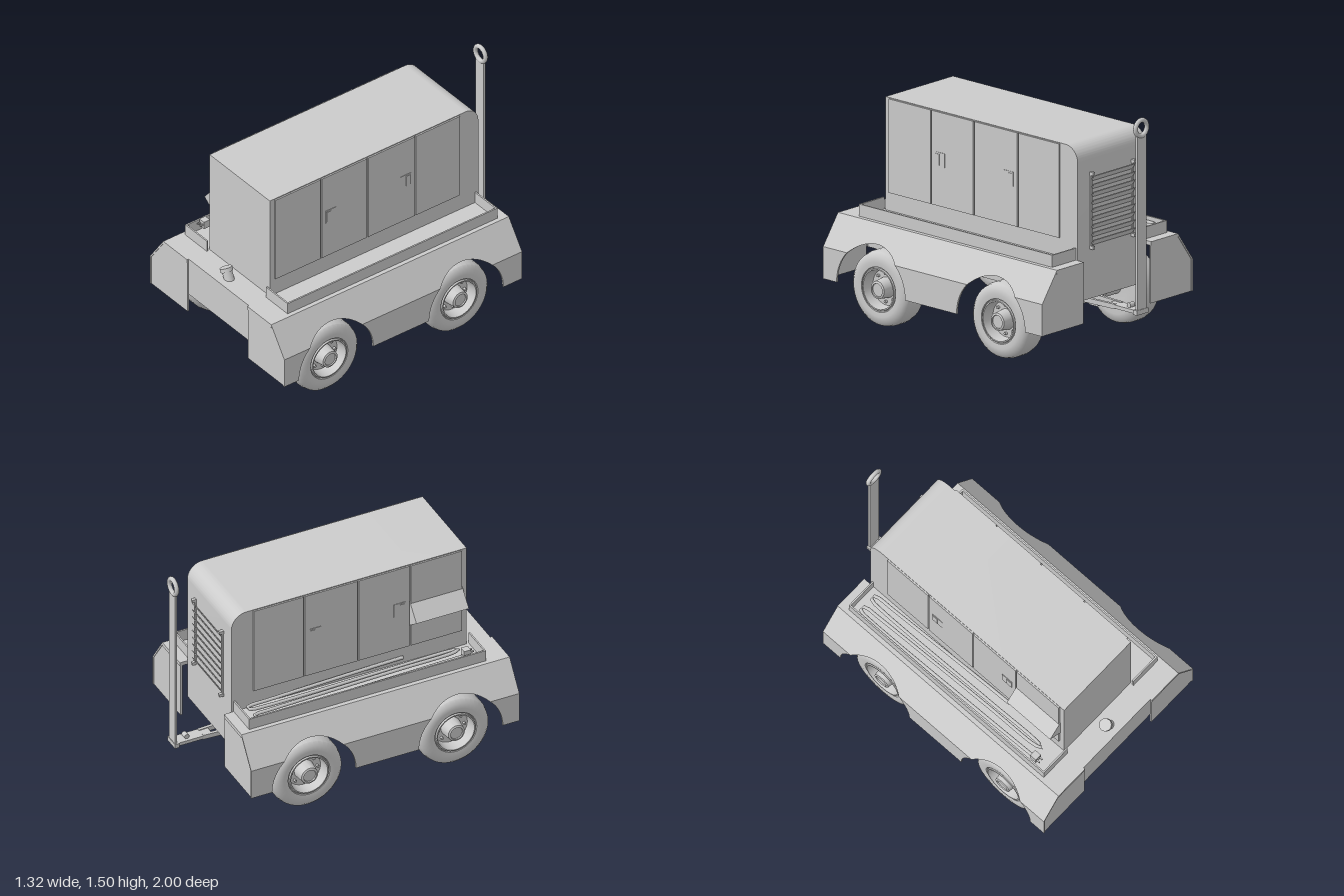
import * as THREE from 'three';
import { toCreasedNormals } from 'three/addons/utils/BufferGeometryUtils.js';

const mat = new THREE.MeshStandardMaterial({ color: 0xcccccc });
const sheet = new THREE.MeshStandardMaterial({ color: 0xcccccc, side: THREE.DoubleSide });

function add(parent, name, geo, x = 0, y = 0, z = 0, material = mat) {
  const m = new THREE.Mesh(geo, material);
  m.name = name;
  m.position.set(x, y, z);
  parent.add(m);
  return m;
}
const box = (p, name, w, h, d, x, y, z) => add(p, name, new THREE.BoxGeometry(w, h, d), x, y, z);
const cyl = (p, name, r, len, x, y, z, seg = 24) => add(p, name, new THREE.CylinderGeometry(r, r, len, seg), x, y, z);
const poly = (pts) => new THREE.Shape(pts.map(([x, y]) => new THREE.Vector2(x, y)));
const extrude = (shape, depth, curveSegments = 12) =>
  new THREE.ExtrudeGeometry(shape, { depth, bevelEnabled: false, curveSegments });

// Bar of rectangular section between two points
function bar(p, name, a, b, w, h) {
  const A = new THREE.Vector3(...a), B = new THREE.Vector3(...b);
  const m = box(p, name, w, h, A.distanceTo(B), 0, 0, 0);
  m.position.copy(A).add(B).multiplyScalar(0.5);
  m.lookAt(B);
}

const AXLES = [0.61, -0.37];
const ARCH = 0.28, HUB_Y = 0.24, BEND = 0.44, ANG = Math.asin((BEND - HUB_Y) / ARCH);
const HALF = ARCH * Math.cos(ANG);

// Side skirt of a fender, in (-z, y), with wheel arches; the upper strip leans inward
function fender(g) {
  const [c1, c2] = AXLES.map((z) => -z);
  const upper = new THREE.Shape();
  upper.moveTo(-1, BEND);
  for (const c of [c1, c2]) {
    upper.lineTo(c - HALF, BEND);
    upper.absarc(c, HUB_Y, ARCH, Math.PI - ANG, ANG, true);
  }
  upper.lineTo(0.79, BEND).lineTo(0.79, 0.625).lineTo(-1, 0.625);

  const front = new THREE.Shape();
  front.moveTo(-1, HUB_Y).lineTo(c1 - ARCH, HUB_Y);
  front.absarc(c1, HUB_Y, ARCH, Math.PI, Math.PI - ANG, true).lineTo(-1, BEND);
  const middle = new THREE.Shape();
  middle.moveTo(c1 + ARCH, HUB_Y).lineTo(c2 - ARCH, HUB_Y);
  middle.absarc(c2, HUB_Y, ARCH, Math.PI, Math.PI - ANG, true).lineTo(c1 + HALF, BEND);
  middle.absarc(c1, HUB_Y, ARCH, ANG, 0, true);
  const rear = new THREE.Shape();
  rear.moveTo(c2 + ARCH, HUB_Y).lineTo(0.79, HUB_Y).lineTo(0.79, BEND).lineTo(c2 + HALF, BEND);
  rear.absarc(c2, HUB_Y, ARCH, ANG, 0, true);

  for (const shape of [upper, front, middle, rear]) {
    const geo = extrude(shape, 0.012, 20).rotateY(Math.PI / 2);
    const p = geo.attributes.position;
    for (let i = 0; i < p.count; i++) {
      p.setX(i, p.getX(i) + 0.648 - Math.max(0, p.getY(i) - BEND) * 0.13 / 0.185);
    }
    geo.computeVertexNormals();
    add(g, 'fenderSkirt', geo, 0, 0, 0, sheet);
  }
  // End plates sit slightly inside the skirt
  const cap = poly([[0.295, 0.24], [0.65, 0.24], [0.65, 0.44], [0.523, 0.62], [0.295, 0.62]]);
  for (const z of [0.984, -0.786]) add(g, 'fenderEnd', extrude(cap, 0.012), 0, 0, z, sheet);
}

// Tyre, rim and hub turned about one axis; the outer face points along local +y
const tyreGeo = toCreasedNormals(new THREE.LatheGeometry([
  [0, -0.08], [0.1, -0.085], [0.17, -0.09], [0.205, -0.085], [0.226, -0.066], [0.235, -0.03],
  [0.235, 0.03], [0.226, 0.066], [0.205, 0.085], [0.17, 0.09], [0.14, 0.086], [0.137, 0.078],
  [0.132, 0.078], [0.13, 0.09], [0.122, 0.09], [0.112, 0.015], [0.064, 0.015], [0.055, 0.095],
  [0.042, 0.1], [0.04, 0.092], [0, 0.092],
].map(([r, y]) => new THREE.Vector2(r, y)), 40), 0.6);

function wheel(root, s, z) {
  const g = new THREE.Group();
  g.name = 'wheel';
  add(g, 'tyreAndRim', tyreGeo);
  for (let i = 0; i < 8; i++) {
    const a = (i * Math.PI) / 4;
    cyl(g, 'wheelNut', 0.009, 0.02, 0.088 * Math.cos(a), 0.022, 0.088 * Math.sin(a), 6);
  }
  g.position.set(s * 0.506, HUB_Y - 0.005, z);
  g.rotation.z = -s * Math.PI / 2;
  root.add(g);
}

export function createModel() {
  const root = new THREE.Group();
  root.name = 'towedGenerator';

  // Housing with a rounded rear top edge
  const side = new THREE.Shape();
  side.moveTo(-0.83, 0.6).lineTo(0.74, 0.6).lineTo(0.74, 1.23);
  side.absarc(0.64, 1.23, 0.1, 0, Math.PI / 2, false).lineTo(-0.83, 1.33);
  add(root, 'housing', toCreasedNormals(extrude(side, 0.59).rotateY(Math.PI / 2), 0.5), -0.295);

  // Deck and chassis, open underneath
  box(root, 'deck', 1.06, 0.025, 1.725, 0, 0.6125, 0.1225);
  box(root, 'frontPanel', 0.59, 0.26, 0.012, 0, 0.495, 0.982);
  box(root, 'rearPanel', 0.59, 0.25, 0.012, 0, 0.49, -0.734);

  for (const s of [1, -1]) {
    const g = new THREE.Group();
    g.name = s > 0 ? 'leftSide' : 'rightSide';
    g.scale.x = s;
    root.add(g);
    fender(g);
    box(g, 'deckRearEnd', 0.235, 0.025, 0.06, 0.4125, 0.6125, -0.76);
    box(g, 'deckFrontEnd', 0.235, 0.025, 0.02, 0.4125, 0.6125, 0.99);
    box(g, 'chassisRail', 0.015, 0.24, 1.7, 0.2875, 0.485, 0.125);
    box(g, 'railFlange', 0.07, 0.012, 1.7, 0.255, 0.371, 0.125);

    // Shallow tray beside the housing
    box(g, 'trayWall', 0.01, 0.075, 1.57, 0.497, 0.6625, 0.065);
    for (const z of [0.85, -0.72]) box(g, 'trayEnd', 0.212, 0.075, 0.01, 0.396, 0.6625, z);

    // Doors separated by narrow gaps, with latches
    const edges = [0.8, 0.45, 0.1, -0.26, -0.6];
    for (let i = 0; i < 4; i++) {
      const w = edges[i] - edges[i + 1];
      box(g, 'door', 0.016, 0.585, w - 0.01, 0.297, 1.032, edges[i] - w / 2);
    }
    for (const z of [0.377, -0.185]) {
      box(g, 'latchPlate', 0.008, 0.09, 0.08, 0.304, 1.03, z);
      box(g, 'latchHandle', 0.008, 0.07, 0.035, 0.307, 1.03, z + (z > 0 ? 0.018 : -0.018));
    }

    // Axle hangers and the plates holding each pivot pad
    for (const z of AXLES) {
      const hanger = poly([[-0.15, 0.37], [-0.05, 0.17], [-0.03, 0.155], [0.03, 0.155], [0.05, 0.17], [0.15, 0.37]]);
      add(g, 'axleHanger', extrude(hanger, 0.025).rotateY(Math.PI / 2), 0.237, 0, z);
      box(g, 'pivotPlate', 0.012, 0.085, 0.06, 0.056, 0.3425, z);
    }
    // Drawbar fork
    bar(root, 'drawbarArm', [s * 0.055, 0.295, -0.38], [s * 0.03, 0.295, -0.8], 0.02, 0.03);
  }

  // Axles and wheels
  for (const z of AXLES) {
    cyl(root, 'axle', 0.055, 0.9, 0, HUB_Y + 0.005, z).rotation.z = Math.PI / 2;
    box(root, 'axlePad', 0.13, 0.02, 0.1, 0, 0.305, z);
    box(root, 'crossMember', 0.56, 0.025, 0.08, 0, 0.385, z);
    cyl(root, 'pivotBolt', 0.02, 0.04, 0, 0.325, z, 6);
    for (const s of [1, -1]) wheel(root, s, z);
  }

  // Tow bar folded upright with its eye
  box(root, 'drawbar', 0.08, 0.022, 0.25, 0, 0.295, -0.865);
  box(root, 'drawbarHinge', 0.1, 0.03, 0.03, 0, 0.295, -0.98);
  cyl(root, 'hitchKnob', 0.016, 0.04, 0, 0.32, -0.9, 12).rotation.z = Math.PI / 2;
  box(root, 'towBar', 0.08, 1.11, 0.016, 0, 0.835, -0.983);
  add(root, 'towEye', new THREE.TorusGeometry(0.049, 0.0145, 12, 32), 0, 1.437, -0.983);

  // Rear louvred grille, slats rising outward
  for (const s of [1, -1]) {
    box(root, 'grillePost', 0.012, 0.48, 0.01, s * 0.182, 0.915, -0.744);
    for (const y of [0.685, 1.145]) box(root, 'grilleLug', 0.02, 0.02, 0.03, s * 0.182, y, -0.753);
  }
  for (let i = 0; i < 9; i++) {
    box(root, 'grilleSlat', 0.36, 0.045, 0.005, 0, 0.715 + i * 0.05, -0.753).rotation.x = -0.65;
  }

  // Wedge-shaped hood over the control panel on the right
  const hood = poly([[-0.29, 0.88], [-0.29, 1.065], [-0.386, 0.952]]);
  add(root, 'controlHood', extrude(hood, 0.35), 0, 0, 0.45);

  // Angled fuel filler
  const filler = new THREE.Group();
  filler.name = 'fuelFiller';
  cyl(filler, 'fillerNeck', 0.031, 0.1, 0, 0, 0);
  cyl(filler, 'fillerCap', 0.039, 0.025, 0, 0.046, 0);
  filler.position.set(0, 0.638, 0.915);
  filler.rotation.z = 0.45;
  root.add(filler);

  // Cable looped in the right tray, ending in a plug
  const path = [
    [-0.455, 0.73], [-0.465, 0.3], [-0.478, -0.55], [-0.472, -0.65], [-0.455, -0.67], [-0.436, -0.65],
    [-0.43, -0.55], [-0.405, 0.3], [-0.395, 0.7], [-0.382, 0.73], [-0.372, 0.68], [-0.376, 0.3],
    [-0.385, -0.55], [-0.377, -0.65], [-0.36, -0.67], [-0.343, -0.65], [-0.335, -0.5], [-0.31, 0.2], [-0.305, 0.4],
  ].map(([x, z]) => new THREE.Vector3(x, 0.67, z));
  add(root, 'cable', new THREE.TubeGeometry(new THREE.CatmullRomCurve3(path), 160, 0.011, 8));
  box(root, 'plug', 0.045, 0.05, 0.045, -0.455, 0.693, 0.745);
  for (const s of [1, -1]) box(root, 'plugPin', 0.008, 0.01, 0.03, -0.455 + s * 0.012, 0.695, 0.775);

  return root;
}
